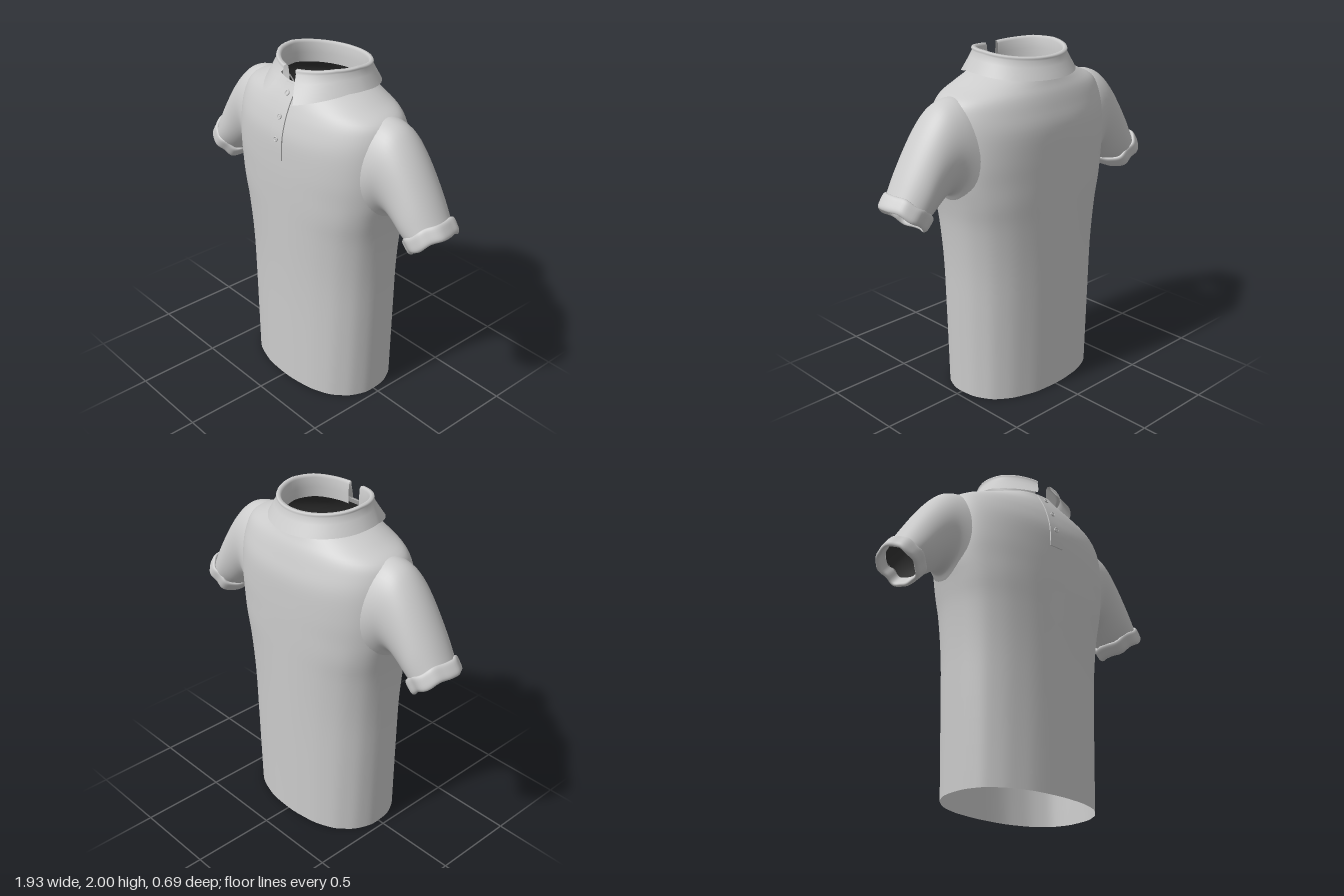
import * as THREE from 'three';

function flat(name, color) {
  const m = new THREE.MeshStandardMaterial({ color, side: THREE.DoubleSide });
  m.name = name;
  return m;
}
const cloth = flat('grey cloth', 0xcccccc);
const dark = flat('dark lining', 0x333333);

// Skin a surface over rows of points with equal counts, leaving out corners in a hole
function loft(rows, closed = true, hole = () => false) {
  const n = rows[0].length, index = [], points = rows.flat();
  for (let j = 0; j < rows.length - 1; j++) {
    for (let i = 0; i < (closed ? n : n - 1); i++) {
      const a = j * n + i, b = j * n + (i + 1) % n, c = a + n, d = b + n;
      if (![a, b, c, d].some(k => hole(points[k]))) index.push(a, c, b, b, c, d);
    }
  }
  const g = new THREE.BufferGeometry();
  g.setAttribute('position', new THREE.Float32BufferAttribute(points.flat(), 3));
  g.setIndex(index);
  g.computeVertexNormals();
  return g;
}

// Smoothly interpolate a table of numbers, giving extra rows between its rows
function refine(table, steps) {
  const out = [], last = table.length - 1;
  for (let s = 0; s <= last * steps; s++) {
    const i = Math.min(Math.floor(s / steps), last - 1), t = s / steps - i;
    const p = [i - 1, i, i + 1, i + 2].map(k => table[Math.max(0, Math.min(last, k))]);
    out.push(p[1].map((b, k) => {
      const a = p[0][k], c = p[2][k], d = p[3][k];
      return b + 0.5 * t * (c - a + t * (2 * a - 5 * b + 4 * c - d + t * (3 * (b - c) + d - a)));
    }));
  }
  return out;
}

const spow = (v, e) => Math.sign(v) * Math.pow(Math.abs(v), e);
const around = (n, f) => Array.from({ length: n }, (_, i) => f(i / n * Math.PI * 2));

// Torso: height, half width, front depth, back depth, squareness
const body = refine([
  [0, 0.46, 0.31, 0.32, 2.3], [0.5, 0.475, 0.31, 0.325, 2.3], [0.8, 0.485, 0.315, 0.33, 2.3],
  [1.05, 0.505, 0.323, 0.335, 2.4], [1.2, 0.53, 0.328, 0.338, 2.5], [1.32, 0.555, 0.332, 0.34, 2.4],
  [1.45, 0.565, 0.333, 0.34, 2.4], [1.6, 0.565, 0.328, 0.335, 2.3], [1.7, 0.555, 0.305, 0.31, 2.2],
  [1.77, 0.52, 0.278, 0.287, 2.1], [1.82, 0.415, 0.253, 0.262, 2.1], [1.86, 0.33, 0.23, 0.245, 2],
  [1.895, 0.25, 0.212, 0.236, 2],
], 4);

function frontDepth(y) {
  const i = Math.max(1, body.findIndex(r => r[0] >= y));
  const a = body[i - 1], b = body[i];
  return a[2] + (b[2] - a[2]) * (y - a[0]) / (b[0] - a[0]);
}

// Opening from the torso into each sleeve
const armhole = ([x, y, z]) => Math.abs(x) > 0.4 && ((y - 1.5) / 0.21) ** 2 + ((z + 0.01) / 0.13) ** 2 < 1;

function torsoGeometry(rows, inset) {
  return loft(rows.map(([y, w, f, b, n]) => around(96, a => {
    const c = Math.cos(a), s = Math.sin(a);
    // Soft hanging folds that fade out towards the shoulders
    const fold = 1 + 0.005 * Math.sin(a * 13 + y) * Math.sin(a * 5 + 1) * Math.max(0, 1 - y / 1.6);
    return [(w - inset) * spow(c, 2 / n) * fold, y, ((s > 0 ? f : b) - inset) * spow(s, 2 / n) * fold];
  })), true, armhole);
}

// Sleeve: top x, top y, underside x, underside y, half depth
const sleeveRows = refine([
  [0.45, 1.782, 0.49, 1.15, 0.205], [0.52, 1.786, 0.535, 1.225, 0.188], [0.6, 1.76, 0.565, 1.265, 0.174],
  [0.67, 1.698, 0.61, 1.26, 0.165], [0.75, 1.593, 0.655, 1.23, 0.158], [0.84, 1.45, 0.7, 1.195, 0.152],
  [0.905, 1.335, 0.733, 1.172, 0.142],
], 4);

function sleeveGeometry(side, scale) {
  return loft(sleeveRows.map(([tx, ty, bx, by, h], j) => around(48, a => {
    const k = (1 + scale * Math.cos(a)) / 2;
    const wrinkle = 1 + 0.012 * Math.sin(a * 4 + j * 0.35) * (j / sleeveRows.length);
    return [side * (bx + (tx - bx) * k), by + (ty - by) * k, -0.01 + scale * h * Math.sin(a) * wrinkle];
  })));
}

// Cuff: turned-up band; distance along the sleeve and swell of the cloth
const cuffRows = refine([
  [0.0, -0.014], [-0.008, 0], [0.004, 0.009], [0.035, 0.009], [0.066, 0.006],
  [0.08, -0.004], [0.078, -0.014], [0.06, -0.02], [0.01, -0.02],
], 3);

function cuffGeometry(side) {
  return loft(cuffRows.map(([t, swell]) => around(64, a => {
    const ripple = 0.003 * Math.sin(a * 5 + 0.6) + 0.003 * Math.sin(a * 8);
    const u = (0.125 + swell + ripple) * Math.cos(a);
    const v = t + 0.005 * Math.sin(a * 5 + 1);
    return [side * (0.814 + 0.78 * u + 0.63 * v), 1.26 + 0.63 * u - 0.78 * v,
      -0.012 + (0.142 + swell + ripple) * spow(Math.sin(a), 0.8)];
  })));
}

// Collar: inner stand, rolled top and pointed fall, open at the front
function collarGeometry() {
  const profile = [ // half width, half depth, height, opening angle, share of the fall
    [0.243, 0.218, 1.875, 0.17, 0], [0.243, 0.217, 1.93, 0.17, 0], [0.247, 0.221, 1.985, 0.17, 0],
    [0.258, 0.23, 2.0, 0.17, 0], [0.274, 0.246, 1.998, 0.17, 0], [0.278, 0.25, 1.988, 0.18, 0],
    [0.272, 0.246, 1.978, 0.19, 0.08],
    [0.289, 0.262, 1.946, 0.25, 0.36], [0.306, 0.28, 1.914, 0.315, 0.68], [0.324, 0.297, 1.882, 0.38, 1],
  ];
  const n = 90;
  return loft(profile.map(([rx, rz, y, open, fall]) => Array.from({ length: n + 1 }, (_, i) => {
    const a = open + (2 * Math.PI - 2 * open) * i / n;
    const fromFront = Math.min(a, 2 * Math.PI - a) - open;
    const tip = Math.max(0, 1 - fromFront / 0.85);
    const back = Math.max(0, -Math.cos(a));
    return [rx * Math.sin(a), y - 0.06 * tip * fall - 0.022 * tip * (1 - fall) - 0.028 * back,
      -0.012 + (rz + 0.055 * tip * fall) * Math.cos(a)];
  })), false);
}

// Placket: strip bent to follow the chest
function placketGeometry() {
  const g = new THREE.BoxGeometry(0.088, 0.405, 0.012, 4, 24, 1), p = g.attributes.position;
  for (let i = 0; i < p.count; i++) {
    const y = p.getY(i) + 1.683;
    p.setXYZ(i, p.getX(i), y, p.getZ(i) + frontDepth(y) + 0.001);
  }
  g.computeVertexNormals();
  return g;
}

function button(y) {
  const group = new THREE.Group();
  group.name = 'button';
  const add = (name, geometry, z) => {
    const mesh = new THREE.Mesh(geometry, cloth);
    mesh.name = name;
    mesh.position.z = z;
    group.add(mesh);
  };
  add('buttonDisc', new THREE.CylinderGeometry(0.014, 0.015, 0.006, 20).rotateX(Math.PI / 2), 0);
  add('buttonRim', new THREE.TorusGeometry(0.013, 0.003, 8, 24), 0.003);
  add('buttonThread', new THREE.BoxGeometry(0.009, 0.004, 0.003), 0.004);
  group.position.set(0, y, frontDepth(y) + 0.009);
  group.rotation.x = Math.atan2(frontDepth(y + 0.02) - frontDepth(y - 0.02), 0.04);
  return group;
}

export function createModel() {
  const model = new THREE.Group();
  model.name = 'shirt';
  const add = (name, geometry, material = cloth) => {
    const mesh = new THREE.Mesh(geometry, material);
    mesh.name = name;
    model.add(mesh);
  };
  add('torso', torsoGeometry(body, 0));
  // The lining stops short of the hem and the neckline
  add('torsoLining', torsoGeometry(body.slice(4, -4), 0.015), dark);
  add('collar', collarGeometry());
  add('placket', placketGeometry());
  for (const [name, side] of [['left', 1], ['right', -1]]) {
    add(name + 'Sleeve', sleeveGeometry(side, 1));
    add(name + 'SleeveLining', sleeveGeometry(side, 0.95), dark);
    add(name + 'Cuff', cuffGeometry(side));
  }
  for (const y of [1.84, 1.72, 1.597]) model.add(button(y));
  return model;
}
